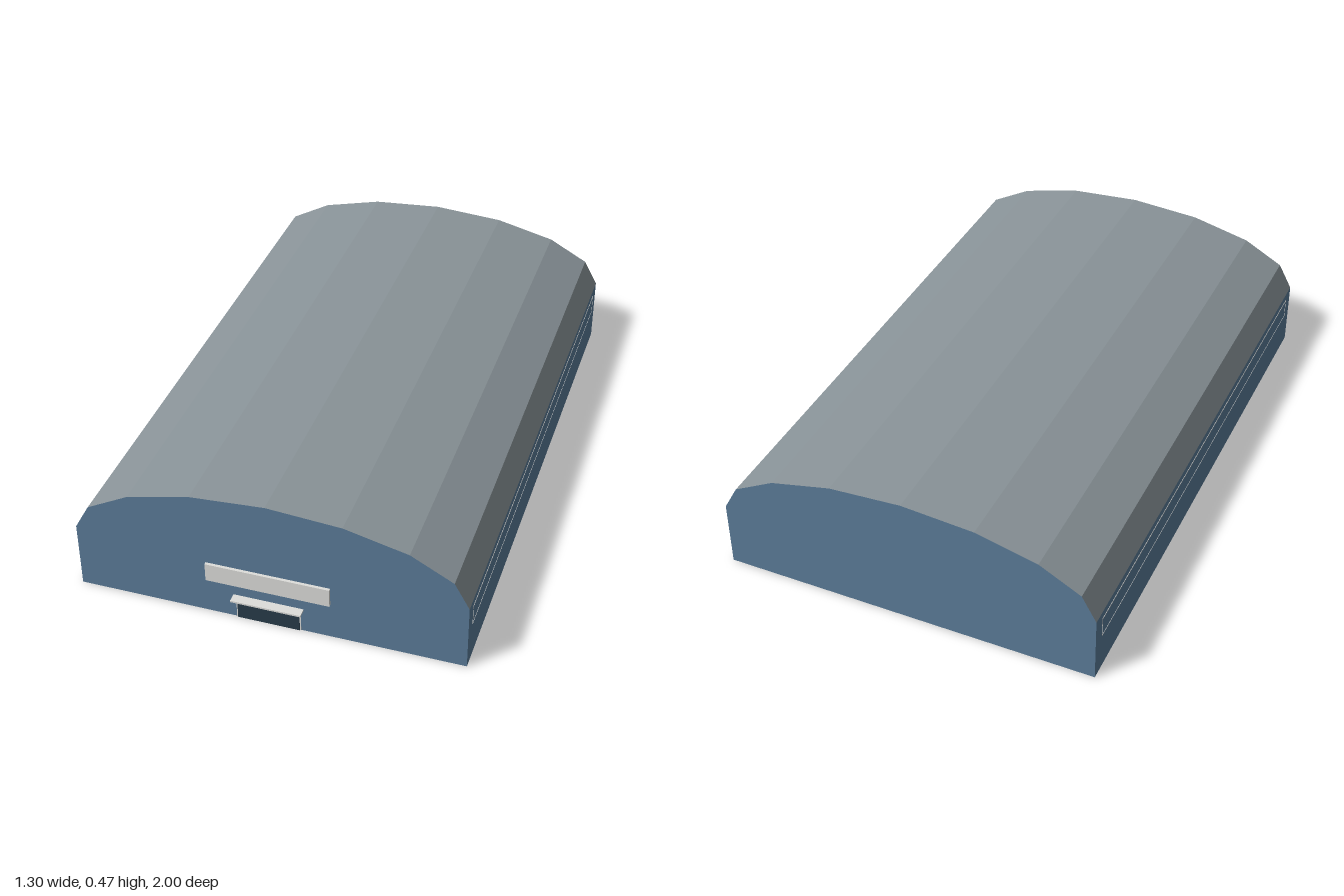
import * as THREE from 'three';

const HALF = 0.648, EAVE = 0.235, RISE = 0.233, BACK = -1, FRONT = 0.968;
const LENGTH = FRONT - BACK, MID = (FRONT + BACK) / 2;

const flat = (color, side = THREE.FrontSide) =>
  new THREE.MeshStandardMaterial({ color, side, flatShading: true });

export function createModel() {
  const wallBlue = flat(0x5b7c99, THREE.DoubleSide);
  const roofGrey = flat(0x8a9499, THREE.DoubleSide);
  const paleGrey = flat(0xdededb);
  const doorDark = flat(0x283c49);
  const model = new THREE.Group();

  const add = (name, geometry, material, x, y, z, parent = model) => {
    const mesh = new THREE.Mesh(geometry, material);
    mesh.name = name;
    mesh.position.set(x, y, z);
    parent.add(mesh);
    return mesh;
  };
  const box = (name, w, h, d, material, x, y, z, parent) =>
    add(name, new THREE.BoxGeometry(w, h, d), material, x, y, z, parent);

  // Faceted barrel roof: half of a flattened cylinder
  const vault = new THREE.CylinderGeometry(1, 1, LENGTH, 8, 1, true, -Math.PI / 2, Math.PI);
  vault.rotateX(-Math.PI / 2).scale(HALF, RISE, 1);
  add('roof', vault, roofGrey, 0, EAVE, MID);

  // End walls follow the roof profile
  const profile = new THREE.Shape();
  profile.moveTo(-HALF, 0).lineTo(HALF, 0);
  for (let i = 0; i <= 8; i++) {
    const a = (i / 8) * Math.PI;
    profile.lineTo(HALF * Math.cos(a), EAVE + RISE * Math.sin(a));
  }
  add('frontWall', new THREE.ShapeGeometry(profile), wallBlue, 0, 0, FRONT);
  add('backWall', new THREE.ShapeGeometry(profile).rotateY(Math.PI), wallBlue, 0, 0, BACK);

  // Ceiling at eave height; the hall is open underneath
  add('ceiling', new THREE.PlaneGeometry(2 * HALF, LENGTH).rotateX(Math.PI / 2), wallBlue, 0, EAVE, MID);

  // Side walls, each with a fine pale outline of a long panel
  for (const [side, s] of [['left', 1], ['right', -1]]) {
    const wall = new THREE.PlaneGeometry(LENGTH, EAVE).rotateY(s * Math.PI / 2);
    add(side + 'Wall', wall, wallBlue, s * HALF, EAVE / 2, MID);
    const trim = new THREE.Group();
    trim.name = side + 'PanelTrim';
    model.add(trim);
    const x = s * HALF;
    box('topLine', 0.002, 0.004, 1.87, paleGrey, x, 0.205, MID, trim);
    box('bottomLine', 0.002, 0.0015, 1.87, paleGrey, x, 0.135, MID, trim);
    for (const e of [-1, 1]) box('endLine', 0.002, 0.07, 0.002, paleGrey, x, 0.17, MID + e * 0.934, trim);
  }

  // Entrance: sign board, door, slim frame and canopy
  box('signBoard', 0.412, 0.066, 0.01, paleGrey, 0, 0.166, FRONT + 0.005);
  box('doorFrame', 0.216, 0.084, 0.002, paleGrey, 0, 0.042, FRONT + 0.001);
  box('door', 0.208, 0.08, 0.004, doorDark, 0, 0.04, FRONT + 0.002);
  box('canopy', 0.234, 0.006, 0.032, paleGrey, 0, 0.086, FRONT + 0.016);

  return model;
}
